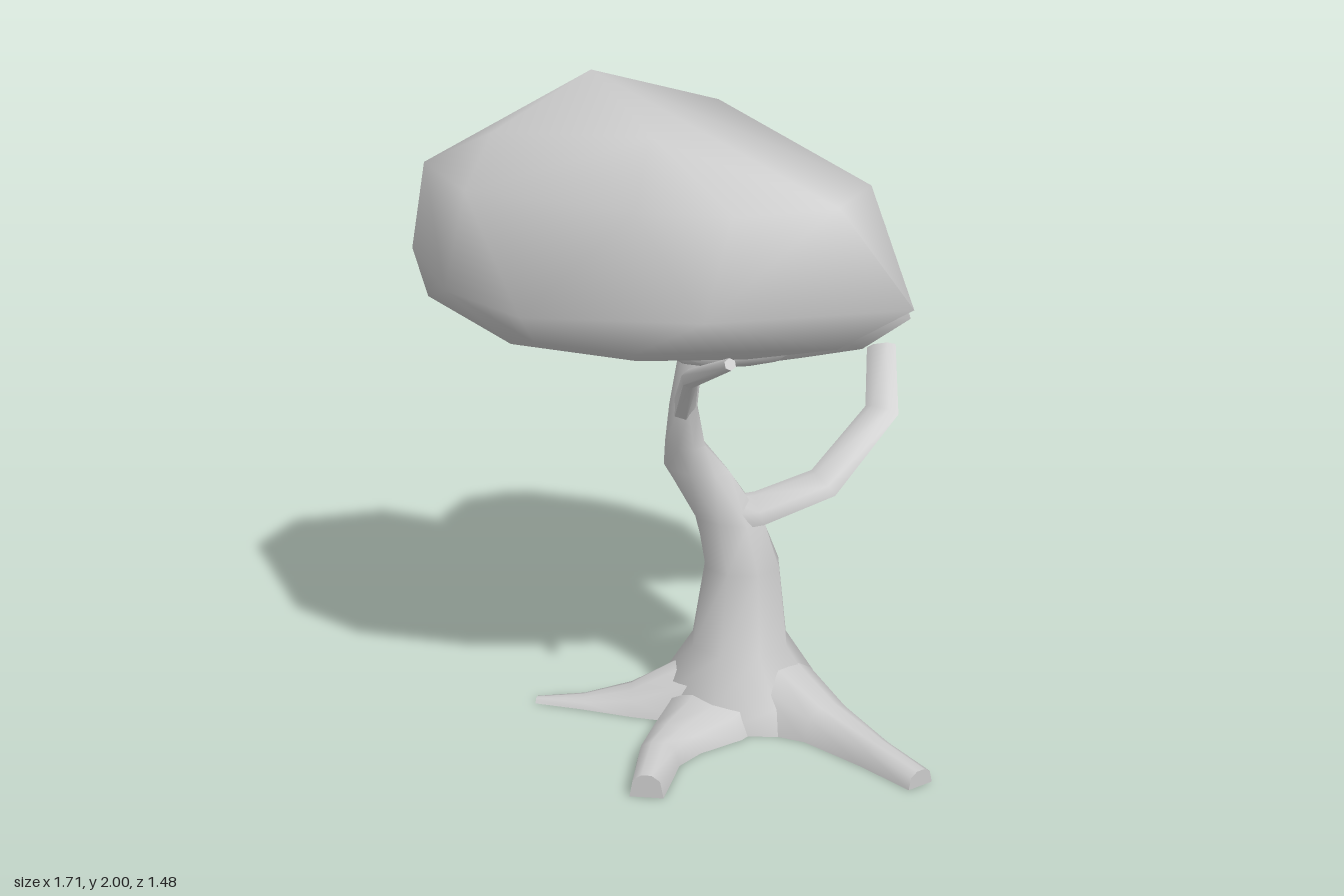
import * as THREE from 'three';
import { toCreasedNormals } from 'three/addons/utils/BufferGeometryUtils.js';
import { ConvexGeometry } from 'three/addons/geometries/ConvexGeometry.js';

const V = (x, y, z) => new THREE.Vector3(x, y, z);
const UP = V(0, 1, 0);
const material = new THREE.MeshStandardMaterial({ color: 0xcccccc });

function addMesh(group, name, geometry) {
  const mesh = new THREE.Mesh(geometry, material);
  mesh.name = name;
  group.add(mesh);
  return mesh;
}

// Skin a list of equal-length rings (counter-clockwise about the path) and cap both ends
function loft(rings) {
  const n = rings[0].length, last = (rings.length - 1) * n, index = [];
  for (let i = 0; i < rings.length - 1; i++) {
    for (let k = 0; k < n; k++) {
      const a = i * n + k, b = i * n + (k + 1) % n;
      index.push(a, b, b + n, a, b + n, a + n);
    }
  }
  for (let k = 1; k < n - 1; k++) {
    index.push(0, k + 1, k, last, last + k, last + k + 1);
  }
  const geometry = new THREE.BufferGeometry().setFromPoints(rings.flat());
  geometry.setIndex(index);
  return toCreasedNormals(geometry, 1.1);
}

// Direction of a polyline at point i
function tangent(points, i) {
  const a = points[Math.max(i - 1, 0)], b = points[Math.min(i + 1, points.length - 1)];
  return b.clone().sub(a).normalize();
}

// Trunk from horizontal elliptical rings: [y, xMin, xMax, zMin, zMax]
function trunkGeometry(levels, sides = 8) {
  return loft(levels.map(([y, x0, x1, z0, z1]) =>
    Array.from({ length: sides }, (_, k) => {
      const a = (k / sides) * Math.PI * 2;
      return V((x0 + x1) / 2 + Math.sin(a) * (x1 - x0) / 2, y, (z0 + z1) / 2 + Math.cos(a) * (z1 - z0) / 2);
    })));
}

// Root lying on the ground: [x, z, halfWidth, height]
function rootGeometry(stations) {
  const path = stations.map(([x, z]) => V(x, 0, z));
  const section = [[1, 0], [0.8, 0.75], [0.3, 1], [-0.3, 1], [-0.8, 0.75], [-1, 0]];
  return loft(stations.map(([, , w, h], i) => {
    const side = UP.clone().cross(tangent(path, i)).normalize();
    return section.map(([s, t]) => path[i].clone().addScaledVector(side, s * w).addScaledVector(UP, t * h));
  }));
}

// Flattened branch: [x, y, z, halfWidth, halfThickness], thin along the given normal
function branchGeometry(stations, normal, sides = 6) {
  const path = stations.map(([x, y, z]) => V(x, y, z));
  return loft(stations.map(([, , , w, h], i) => {
    const t = tangent(path, i);
    const u = normal.clone().cross(t).normalize();
    const v = t.clone().cross(u);
    return Array.from({ length: sides }, (_, k) => {
      const a = (k / sides) * Math.PI * 2;
      return path[i].clone().addScaledVector(u, Math.cos(a) * w).addScaledVector(v, Math.sin(a) * h);
    });
  }));
}

// Foliage mass around its widest level, smooth shaded
function canopyGeometry(sx, sy, sz) {
  const points = [
    // tips, crown and underside
    [-0.8, 0, 0], [0.79, 0, 0], [-0.2, 0.6, 0], [-0.2, -0.23, 0], [0.1, 0.49, 0.26], [0.1, 0.49, -0.23],
    // bulging front
    [-0.2, 0, 0.49], [0.32, 0.02, 0.4], [-0.48, 0.02, 0.4], [-0.2, -0.1, 0.4], [0.1, -0.1, 0.39],
    [0.1, 0.3, 0.36], [0.05, -0.17, 0.25], [-0.35, -0.17, 0.25],
    // flatter back
    [0.25, 0.1, -0.43], [-0.22, 0.1, -0.42], [-0.48, 0.05, -0.38], [0.1, -0.16, -0.35], [-0.3, -0.14, -0.34],
  ];
  // shoulders, alike on front and back
  for (const s of [1, -1]) {
    points.push(
      [-0.68, 0.31, s * 0.13], [-0.68, -0.1, s * 0.13], [0.61, 0.31, s * 0.13], [0.61, -0.1, s * 0.13],
      [-0.42, 0.44, s * 0.2], [-0.44, 0.3, s * 0.34], [0.36, 0.3, s * 0.31], [0.36, -0.14, s * 0.2],
    );
  }
  return toCreasedNormals(new ConvexGeometry(points.map(([x, y, z]) => V(x * sx, y * sy, z * sz))), 1.4);
}

export function createModel() {
  const tree = new THREE.Group();
  tree.name = 'tree';

  // Trunk, flared at the ground, bending sideways and then forward
  addMesh(tree, 'trunk', trunkGeometry([
    [0, -0.12, 0.42, -0.21, 0.29],
    [0.08, -0.1, 0.4, -0.18, 0.27],
    [0.22, -0.01, 0.3, -0.11, 0.2],
    [0.47, 0.03, 0.27, -0.08, 0.155],
    [0.62, 0.0, 0.23, -0.02, 0.135],
    [0.77, -0.09, 0.13, 0.02, 0.14],
    [0.86, -0.07, 0.06, 0.06, 0.17],
    [1.0, -0.03, 0.06, 0.13, 0.22],
    [1.24, 0.02, 0.09, 0.15, 0.23],
  ]));

  // Roots
  addMesh(tree, 'leftRoot', rootGeometry([
    [0.18, 0.05, 0.17, 0.18], [0.32, 0.08, 0.14, 0.17], [0.47, 0.14, 0.09, 0.095],
    [0.67, 0.26, 0.055, 0.07], [0.84, 0.355, 0.045, 0.05],
  ]));
  addMesh(tree, 'frontRoot', rootGeometry([
    [0.12, 0.1, 0.17, 0.13], [0.11, 0.26, 0.14, 0.09], [0.08, 0.4, 0.09, 0.07],
    [0.08, 0.52, 0.065, 0.07], [0.135, 0.73, 0.05, 0.07],
  ]));
  addMesh(tree, 'rightRoot', rootGeometry([
    [0.12, 0.07, 0.16, 0.16], [0.0, 0.11, 0.14, 0.15], [-0.16, 0.18, 0.09, 0.06],
    [-0.3, 0.23, 0.045, 0.025], [-0.44, 0.27, 0.02, 0.012],
  ]));

  // Branches carrying the foliage
  addMesh(tree, 'backBranch', branchGeometry([
    [0.12, 0.64, 0.08, 0.06, 0.045], [0.21, 0.66, 0.05, 0.06, 0.035], [0.38, 0.735, -0.04, 0.06, 0.024],
    [0.495, 0.92, -0.23, 0.055, 0.02], [0.435, 1.07, -0.385, 0.045, 0.018],
  ], V(0, 1, 1).normalize()));
  addMesh(tree, 'frontBranch', branchGeometry([
    [0.02, 1.0, 0.18, 0.035, 0.045], [0.09, 1.135, 0.3, 0.026, 0.03], [0.31, 1.28, 0.53, 0.018, 0.018],
  ], V(0, 1, -1).normalize()));

  // Foliage masses: name, position, scale (the back one faces backwards)
  [
    ['mainFoliage', [-0.05, 1.4, 0.22], [1, 1, 1]],
    ['backFoliage', [0, 1.17, -0.38], [0.67, 0.83, -0.73]],
    ['smallFoliage', [0.12, 1.2, 0.09], [0.29, 0.33, 0.45]],
  ].forEach(([name, position, scale]) => {
    addMesh(tree, name, canopyGeometry(...scale)).position.set(...position);
  });

  return tree;
}
